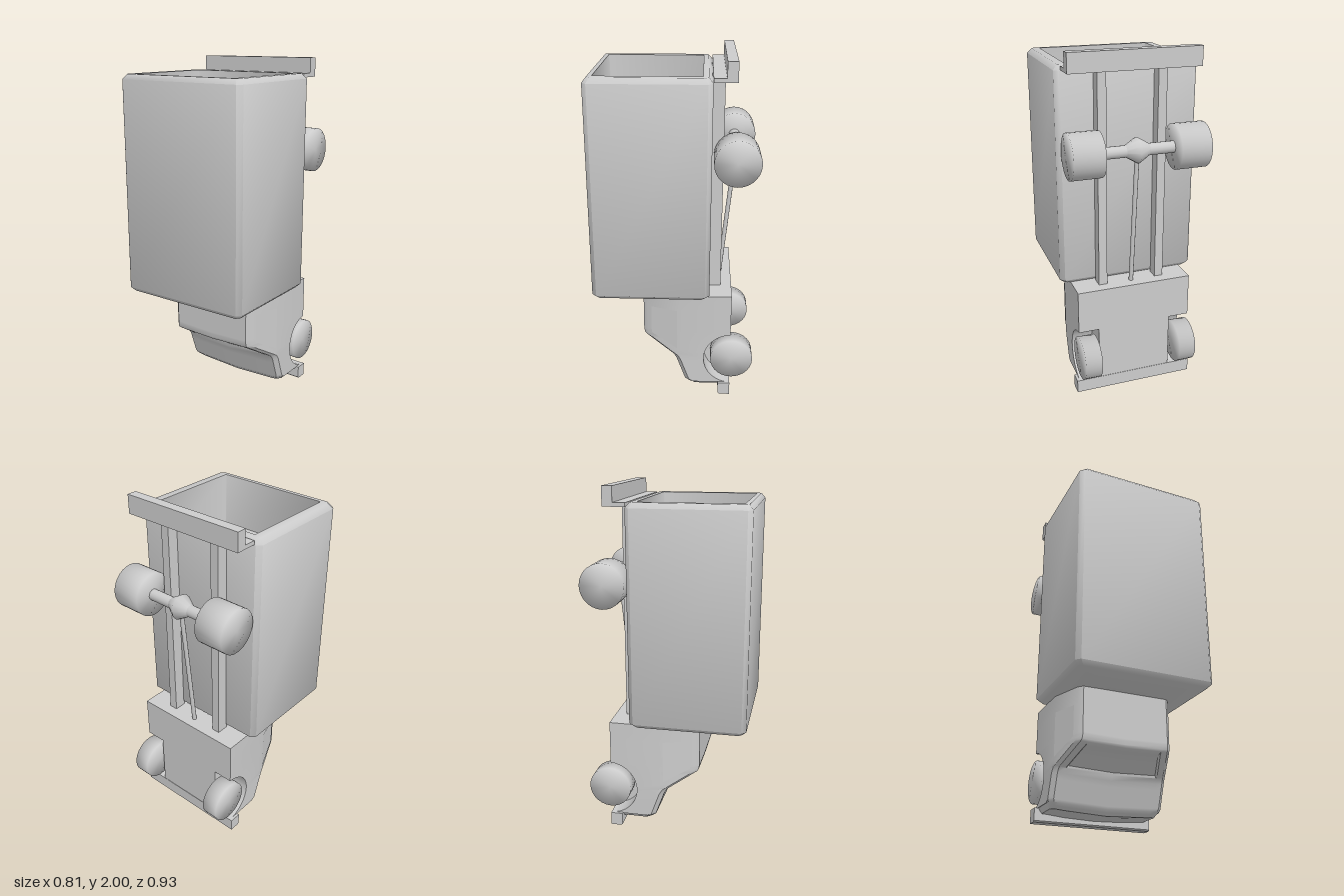
import * as THREE from 'three';
import { mergeVertices, toCreasedNormals } from 'three/addons/utils/BufferGeometryUtils.js';

const grey = new THREE.MeshStandardMaterial({ color: 0xcccccc });
const thin = new THREE.MeshStandardMaterial({ color: 0xcccccc, side: THREE.DoubleSide });

function add(parent, name, geometry, x = 0, y = 0, z = 0, material = grey) {
  const mesh = new THREE.Mesh(geometry, material);
  mesh.name = name;
  mesh.position.set(x, y, z);
  parent.add(mesh);
  return mesh;
}

// Skin a closed solid over rings of [x, y, z] points, with fan caps
function loft(rings, crease) {
  const n = rings[0].length, pos = rings.flat(2), idx = [];
  for (let k = 0; k < rings.length - 1; k++) {
    for (let i = 0; i < n; i++) {
      const j = (i + 1) % n, a = k * n + i, b = k * n + j;
      idx.push(a, b, b + n, a, b + n, a + n);
    }
  }
  [0, rings.length - 1].forEach((k, end) => {
    const c = pos.length / 3, r = rings[k];
    const zs = r.map(p => p[2]), ys = r.map(p => p[1]);
    pos.push(0, end ? Math.max(...ys) : Math.min(...ys), (Math.min(...zs) + Math.max(...zs)) / 2);
    for (let i = 0; i < n; i++) {
      const a = k * n + i, b = k * n + (i + 1) % n;
      if (end) idx.push(c, a, b); else idx.push(c, b, a);
    }
  });
  const g = new THREE.BufferGeometry();
  g.setAttribute('position', new THREE.Float32BufferAttribute(pos, 3));
  g.setIndex(idx);
  return toCreasedNormals(g, crease);
}

// Piecewise linear lookup in [input, output] pairs
function lerpTable(t, v) {
  for (let i = 1; i < t.length; i++) {
    if (v <= t[i][0]) return THREE.MathUtils.mapLinear(Math.max(v, t[0][0]), t[i - 1][0], t[i][0], t[i - 1][1], t[i][1]);
  }
  return t[t.length - 1][1];
}

// Rectangle with cut corners
function cutRect(y, hx, z0, z1, c) {
  return [[hx - c, z1], [hx, z1 - c], [hx, z0 + c], [hx - c, z0],
    [-hx + c, z0], [-hx, z0 + c], [-hx, z1 - c], [-hx + c, z1]].map(([x, z]) => [x, y, z]);
}

const WHEEL_Y = 0.24, WHEEL_Z = -0.338, ARCH = 0.165;
const topLine = [[0.03, -0.1], [0.06, -0.066], [0.23, -0.005], [0.35, 0.18], [0.38, 0.186], [0.66, 0.186]];
const sideX = z => lerpTable([[-0.03, 0.342], [0.186, 0.27]], z);

// One cross-section of the cab, including the wheel wells and sunken windscreen
function cabRing(y) {
  const top = lerpTable(topLine, y);
  const bottom = lerpTable([[0.03, -0.27], [0.065, -0.33]], y);
  const w = lerpTable([[0.03, 0.92], [0.07, 1]], y);
  const d = Math.abs(y - WHEEL_Y);
  const arch = d < ARCH ? Math.max(bottom, WHEEL_Z + Math.sqrt(ARCH * ARCH - d * d)) : bottom;
  const sink = lerpTable([[0.235, 0], [0.25, 0.02], [0.325, 0.02], [0.345, 0]], y);
  const glass = lerpTable([[0.23, 0.28], [0.34, 0.22]], y);
  const edge = sideX(top - 0.025);
  const half = [[0, bottom], [0.22, bottom], [0.22, arch], [0.342, arch],
    [0.342, Math.min(-0.03, top - 0.05)], [edge, top - 0.025], [edge - 0.025, top],
    [glass, top], [glass - 0.005, top - sink], [0, top - sink]];
  const place = ([x, z], s) => {
    const bow = (y < 0.07 || z > -0.1) && y < 0.4 ? 0.018 * (x / 0.342) ** 2 : 0;
    return [s * x * w, y + bow, z];
  };
  return [...half.map(p => place(p, -1)), ...half.slice(1, -1).reverse().map(p => place(p, 1))];
}

// Cylinder lying along x with normals blended over its rims
function wheelGeometry(r, width) {
  let g = new THREE.CylinderGeometry(r, r, width, 28);
  g.deleteAttribute('uv');
  g.deleteAttribute('normal');
  g = mergeVertices(g);
  g.rotateZ(Math.PI / 2);
  g.computeVertexNormals();
  return g;
}

// Bar swept along x from a (z, y) outline
function barGeometry(outline, length) {
  const shape = new THREE.Shape(outline.map(([z, y]) => new THREE.Vector2(-z, y)));
  const g = new THREE.ExtrudeGeometry(shape, { depth: length, bevelEnabled: false });
  g.translate(0, 0, -length / 2);
  return g.rotateY(Math.PI / 2);
}

export function createModel() {
  const truck = new THREE.Group();
  truck.name = 'truckStandingOnNose';

  // Cargo box with a recessed open end
  add(truck, 'cargoBox', loft([
    cutRect(0.66, 0.38, -0.175, 0.445, 0.02),
    cutRect(0.685, 0.405, -0.2, 0.467, 0.025),
    cutRect(1.89, 0.405, -0.2, 0.467, 0.025),
    cutRect(1.918, 0.38, -0.178, 0.445, 0.02),
    cutRect(1.918, 0.335, -0.148, 0.42, 0.003),
    cutRect(1.62, 0.33, -0.145, 0.415, 0.003),
  ], 1));

  // Cab
  const ys = [0.03, 0.045, 0.06, 0.235, 0.25, 0.325, 0.345, 0.36, 0.38, 0.42, 0.56, 0.66];
  for (let i = 0; i <= 16; i++) ys.push(WHEEL_Y - ARCH * Math.cos(Math.PI * i / 16));
  ys.sort((a, b) => a - b);
  add(truck, 'cab', loft(ys.map(cabRing), 0.6));

  // Side windows, laid on the sloping cab sides
  for (const s of [-1, 1]) {
    const outline = [[0.138, 0.56], [-0.015, 0.56], [-0.015, 0.305], [0.138, 0.385]];
    const g = new THREE.ShapeGeometry(new THREE.Shape(outline.map(p => new THREE.Vector2(...p))));
    const p = g.attributes.position;
    for (let i = 0; i < p.count; i++) {
      const z = p.getX(i);
      p.setXYZ(i, s * (sideX(z) + 0.004), p.getY(i), z);
    }
    g.computeVertexNormals();
    add(truck, 'sideWindow', g, 0, 0, 0, thin);
  }

  // Wheels and chassis rails
  for (const s of [-1, 1]) {
    add(truck, 'frontWheel', wheelGeometry(0.125, 0.1), s * 0.29, WHEEL_Y, WHEEL_Z);
    add(truck, 'rearWheel', wheelGeometry(0.127, 0.175), s * 0.298, 1.47, WHEEL_Z);
    add(truck, 'chassisRail', new THREE.BoxGeometry(0.05, 1.25, 0.07), s * 0.172, 1.275, -0.231);
  }

  // Rear axle, differential and drive shaft
  const axle = new THREE.CylinderGeometry(0.033, 0.033, 0.44, 16).rotateZ(Math.PI / 2);
  add(truck, 'rearAxle', axle, 0, 1.47, WHEEL_Z);
  const bicone = [[0.025, -0.08], [0.073, 0], [0.025, 0.08]].map(p => new THREE.Vector2(...p));
  add(truck, 'differential', new THREE.LatheGeometry(bicone, 12).rotateZ(Math.PI / 2), 0, 1.47, WHEEL_Z);
  const from = new THREE.Vector3(0, 0.64, -0.26), to = new THREE.Vector3(0, 1.47, WHEEL_Z - 0.005);
  const shaft = add(truck, 'driveShaft', new THREE.CylinderGeometry(0.013, 0.013, from.distanceTo(to), 10));
  shaft.position.copy(from).add(to).multiplyScalar(0.5);
  shaft.quaternion.setFromUnitVectors(new THREE.Vector3(0, 1, 0), to.clone().sub(from).normalize());

  // Bumpers
  add(truck, 'rearBumper', barGeometry([[-0.2, 1.893], [-0.325, 1.893], [-0.325, 2], [-0.268, 2],
    [-0.268, 1.915], [-0.2, 1.915]], 0.745));
  add(truck, 'frontBumper', barGeometry([[-0.262, 0.008], [-0.27, 0], [-0.332, 0], [-0.332, 0.078],
    [-0.262, 0.078]], 0.715));

  return truck;
}
